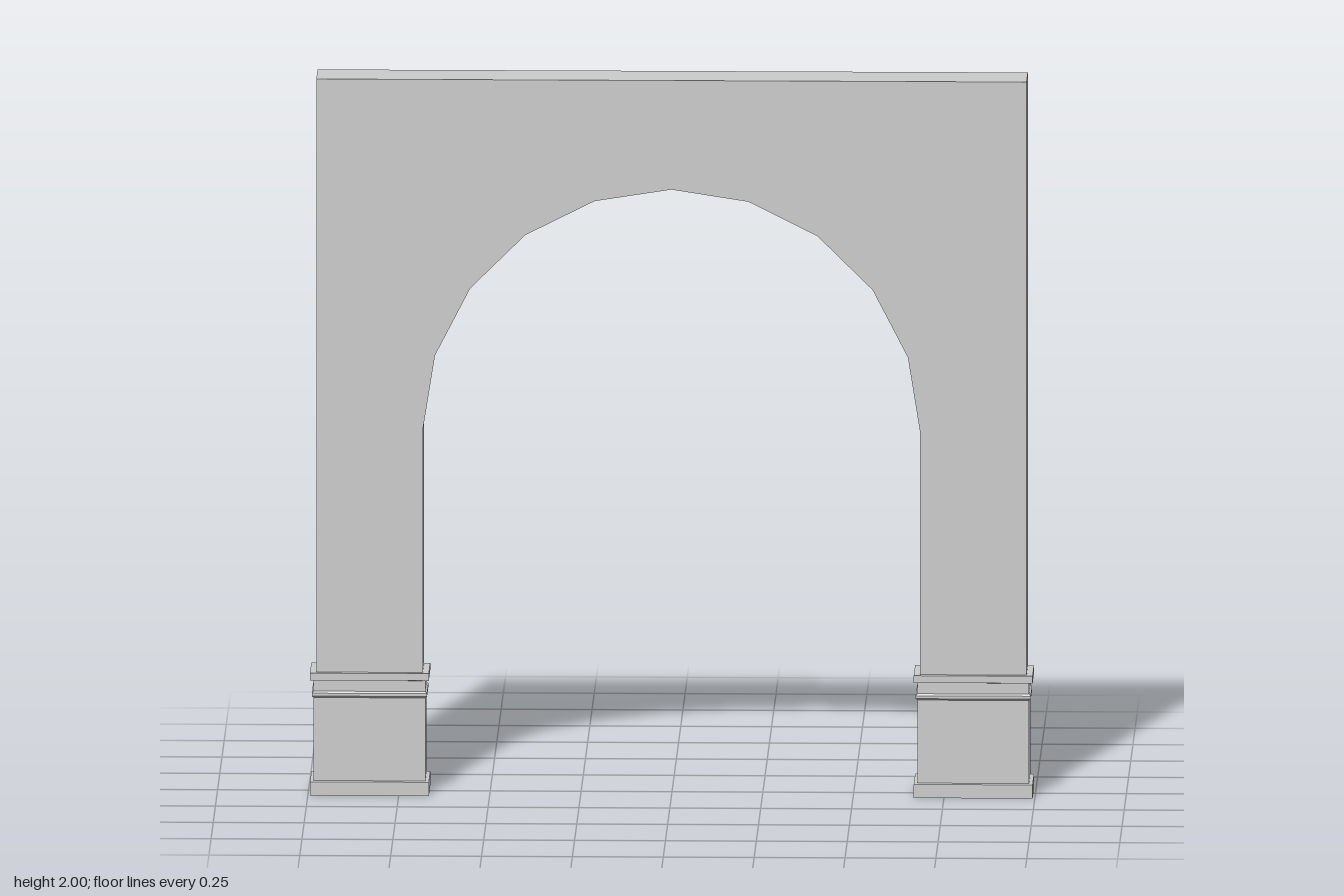
import * as THREE from 'three';
import { toCreasedNormals } from 'three/addons/utils/BufferGeometryUtils.js';

const FRONT = 0.064, BACK = -0.082;      // depth of the open-backed shell
const OUTER = 0.977, INNER = 0.684;      // pier edges
const TOP = 2, SPRING = 1.02, RISE = 0.675, PLINTH = 0.342;

const material = new THREE.MeshStandardMaterial({ color: 0xcccccc, side: THREE.DoubleSide });

// Skin between successive rows of points
function skin(rows, crease) {
  const pos = [];
  for (let i = 0; i < rows.length - 1; i++) {
    for (let j = 0; j < rows[i].length - 1; j++) {
      const a = rows[i][j], b = rows[i][j + 1], c = rows[i + 1][j + 1], d = rows[i + 1][j];
      pos.push(...a, ...b, ...c, ...a, ...c, ...d);
    }
  }
  const geo = new THREE.BufferGeometry();
  geo.setAttribute('position', new THREE.Float32BufferAttribute(pos, 3));
  geo.computeVertexNormals();
  return toCreasedNormals(geo, crease);
}

// Sweep an xy path from the front of the shell to its open back
const returnStrip = (path) =>
  skin([FRONT, BACK].map((z) => path.map(([x, y]) => [x, y, z])), 0.45);

// U-shaped moulded base wrapped round three sides of a pier
function plinthGeometry(x0, x1) {
  const profile = [ // [projection, height]
    [0.017, 0], [0.017, 0.038], [0.007, 0.04],
    [0.007, 0.272], [0.012, 0.277], [0.012, 0.285], [0.007, 0.29],
    [0.007, 0.32], [0.017, 0.322], [0.017, PLINTH], [0, PLINTH],
  ];
  return skin(profile.map(([o, y]) => [
    [x0 - o, y, BACK], [x0 - o, y, FRONT + o], [x1 + o, y, FRONT + o], [x1 + o, y, BACK],
  ]), 0.1);
}

export function createModel() {
  const group = new THREE.Group();
  const add = (name, geo) => {
    const mesh = new THREE.Mesh(geo, material);
    mesh.name = name;
    group.add(mesh);
    return mesh;
  };

  // Opening: straight jambs and a ten-sided half-round head
  const opening = [[INNER, PLINTH]];
  for (let i = 0; i <= 10; i++) {
    const t = (i / 10) * Math.PI;
    opening.push([INNER * Math.cos(t), SPRING + RISE * Math.sin(t)]);
  }
  opening.push([-INNER, PLINTH]);
  const outline = [[-OUTER, PLINTH], [-OUTER, TOP], [OUTER, TOP], [OUTER, PLINTH]];

  // Front face
  const shape = new THREE.Shape([...outline, ...opening].map(([x, y]) => new THREE.Vector2(x, y)));
  add('frontWall', new THREE.ShapeGeometry(shape)).position.z = FRONT;

  // Sides and top, then the underside of the arch
  add('outerReturn', returnStrip(outline));
  add('archReveal', returnStrip(opening));

  // Pier bases
  add('leftPlinth', plinthGeometry(INNER, OUTER));
  add('rightPlinth', plinthGeometry(-OUTER, -INNER));

  return group;
}
